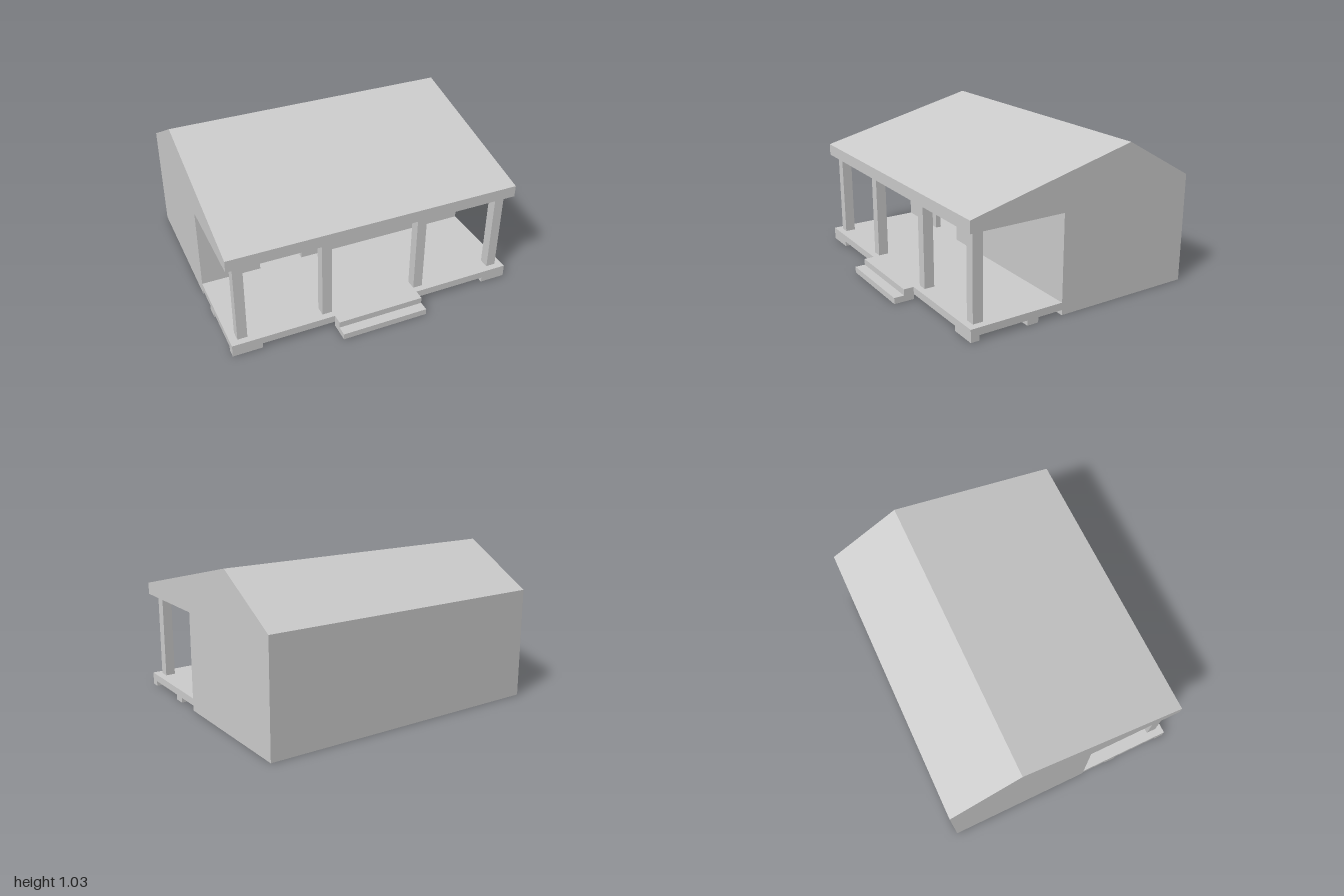
import * as THREE from 'three';

const FLOOR = 0.085, CEILING = 0.67, EAVE = 0.75, RIDGE = 1.035;
const FRONT = 0.76, WALL = 0.1, BACK = -0.9, THICK = 0.04;

export function createModel() {
  const house = new THREE.Group();
  house.name = 'house';
  const material = new THREE.MeshStandardMaterial({ color: 0xcccccc, flatShading: true });

  const add = (name, geometry) => {
    const mesh = new THREE.Mesh(geometry, material);
    mesh.name = name;
    house.add(mesh);
  };
  // Box given by its limits on each axis
  const box = (name, x0, x1, y0, y1, z0, z1) => {
    const g = new THREE.BoxGeometry(x1 - x0, y1 - y0, z1 - z0);
    g.translate((x0 + x1) / 2, (y0 + y1) / 2, (z0 + z1) / 2);
    add(name, g);
  };
  const outline = (points) => new THREE.Shape(points.map(([a, b]) => new THREE.Vector2(a, b)));

  // Roof with gable ends, a (z, y) profile run along x; covers the porch too
  const roof = new THREE.ExtrudeGeometry(
    outline([[FRONT, CEILING], [FRONT, EAVE], [-0.4, RIDGE], [BACK, EAVE], [BACK, CEILING]]),
    { depth: 2, bevelEnabled: false }
  );
  roof.rotateY(-Math.PI / 2);
  roof.translate(1, 0, 0);
  add('roof', roof);

  // House floor slab and walls around an open room
  box('houseFloor', -1, 1, 0, FLOOR, BACK, WALL);
  box('backWall', -1, 1, FLOOR, CEILING, BACK, BACK + THICK);
  for (const s of [-1, 1]) {
    const [x0, x1] = [s, s * (1 - THICK)].sort((a, b) => a - b);
    box(s > 0 ? 'leftWall' : 'rightWall', x0, x1, FLOOR, CEILING, BACK + THICK, WALL);
  }

  // Front wall with the doorway cut out of its lower edge
  const frontWall = new THREE.ExtrudeGeometry(
    outline([
      [-0.96, FLOOR], [-0.58, FLOOR], [-0.58, 0.555], [-0.27, 0.555], [-0.27, FLOOR],
      [0.96, FLOOR], [0.96, CEILING], [-0.96, CEILING]
    ]),
    { depth: THICK, bevelEnabled: false }
  );
  frontWall.translate(0, 0, WALL - THICK);
  add('frontWall', frontWall);

  // Porch deck on short footings
  box('porchDeck', -1, 1, 0.035, FLOOR, WALL, FRONT);
  for (const [z0, z1] of [[0.28, 0.36], [0.7, FRONT]]) {
    box('rightFooting', -1, -0.8, 0, 0.035, z0, z1);
    box('leftFooting', 0.82, 1, 0, 0.035, z0, z1);
  }

  // Porch posts
  for (const x of [-0.917, -0.337, 0.333, 0.917]) {
    box('porchPost', x - 0.033, x + 0.033, FLOOR, CEILING, 0.645, 0.715);
  }

  // Entrance steps
  box('upperStep', -0.3, 0.3, 0, FLOOR, FRONT, 0.83);
  box('lowerStep', -0.3, 0.3, 0, 0.042, 0.83, 0.9);

  return house;
}
